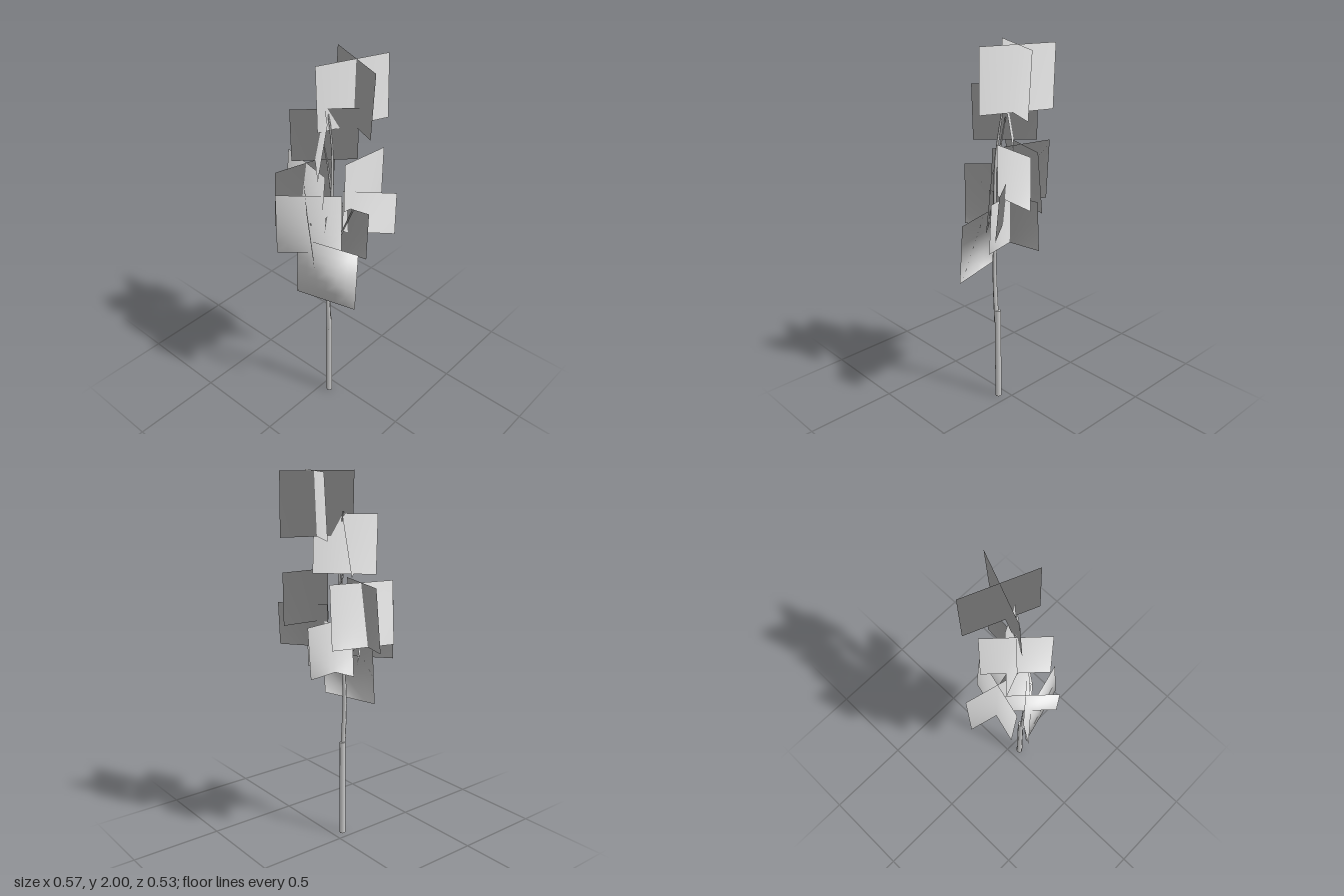
import * as THREE from 'three';

const foliage = new THREE.MeshStandardMaterial({ color: 0xcccccc, side: THREE.DoubleSide });
foliage.name = 'pale grey';

// Foliage is shaded as one round crown about this point
const crownCentre = new THREE.Vector3(0.07, 0.87, 0);

// Tapering limb along a smooth curve
function limb(name, points, r0, r1, sides = 6) {
  const curve = new THREE.CatmullRomCurve3(points.map((p) => new THREE.Vector3(...p)));
  const segs = 14;
  const geo = new THREE.TubeGeometry(curve, segs, r0, sides, false);
  const pos = geo.attributes.position;
  const v = new THREE.Vector3();
  for (let i = 0; i <= segs; i++) {
    const c = curve.getPointAt(i / segs);
    const k = THREE.MathUtils.lerp(1, r1 / r0, i / segs);
    for (let j = 0; j <= sides; j++) {
      const n = i * (sides + 1) + j;
      v.fromBufferAttribute(pos, n).sub(c).multiplyScalar(k).add(c);
      pos.setXYZ(n, v.x, v.y, v.z);
    }
  }
  const mesh = new THREE.Mesh(geo, foliage);
  mesh.name = name;
  return mesh;
}

// Leaning leaf card: top edge from a to b in (x, z), bottom edge shifted by lean
function leafCard(name, yTop, yBottom, a, b, lean) {
  const geo = new THREE.PlaneGeometry(1, 1, 6, 6);
  const pos = geo.attributes.position;
  const centre = new THREE.Vector3(
    (a[0] + b[0] + lean[0]) / 2, (yTop + yBottom) / 2, (a[1] + b[1] + lean[1]) / 2);
  const along = new THREE.Vector3(b[0] - a[0], 0, b[1] - a[1]);
  const up = new THREE.Vector3(-lean[0], yTop - yBottom, -lean[1]);
  // Turn the face side away from the crown centre
  const outward = centre.clone().sub(crownCentre);
  if (along.clone().cross(up).dot(outward) < 0) along.negate();
  const v = new THREE.Vector3();
  for (let i = 0; i < pos.count; i++) {
    v.copy(centre).addScaledVector(along, pos.getX(i)).addScaledVector(up, pos.getY(i));
    pos.setXYZ(i, v.x, v.y, v.z);
    v.sub(crownCentre).normalize();
    geo.attributes.normal.setXYZ(i, v.x, v.y, v.z);
  }
  const mesh = new THREE.Mesh(geo, foliage);
  mesh.name = name;
  return mesh;
}

export function createModel() {
  const tree = new THREE.Group();
  tree.name = 'sapling';

  // Lower trunk and the thinner stem growing out of it
  const trunk = new THREE.Mesh(new THREE.CylinderGeometry(0.016, 0.018, 0.55, 8), foliage);
  trunk.name = 'lowerTrunk';
  trunk.position.set(0.05, 0.275, 0.058);
  tree.add(trunk);
  tree.add(limb('upperStem',
    [[0.055, 0.48, 0.063], [0.055, 0.8, 0.076], [0.056, 1.0, 0.066], [0.064, 1.4, 0.05],
      [0.04, 1.64, 0.03], [0.01, 1.8, 0.03]], 0.014, 0.004));

  // Side twigs reaching for the leaf clusters
  const twigs = [
    [[0.055, 0.97, 0.06], [0.08, 1.08, 0.015], [0.118, 1.24, -0.045]],
    [[0.055, 1.0, 0.06], [-0.02, 1.14, 0.048], [-0.115, 1.28, 0.045]],
    [[0.055, 0.95, 0.068], [0.03, 1.05, 0.1], [0.0, 1.2, 0.142]],
    [[0.06, 1.35, 0.05], [0.03, 1.5, 0.045], [0.0, 1.62, 0.045]],
  ];
  twigs.forEach((p) => tree.add(limb('twig', p, 0.007, 0.003, 5)));

  // Crossed and single leaf cards: top y, bottom y, top edge ends, lean
  const cards = [
    ['crownLeaf', 2, 1.68, [-0.013, 0.08], [0.13, -0.267], [0.016, 0.007]],
    ['crownLeaf', 2, 1.68, [-0.111, -0.182], [0.238, -0.037], [-0.006, 0.015]],
    ['upperLeaf', 1.79, 1.495, [-0.108, -0.07], [0.126, 0.153], [-0.033, 0.032]],
    ['upperLeaf', 1.79, 1.495, [-0.104, 0.159], [0.121, -0.071], [-0.031, -0.034]],
    ['rightLeaf', 1.46, 1.13, [-0.277, 0.003], [0.052, 0.088], [-0.008, 0.026]],
    ['rightLeaf', 1.46, 1.13, [-0.158, 0.216], [-0.067, -0.118], [-0.028, -0.008]],
    ['frontLeaf', 1.35, 1.03, [-0.14, 0.24], [0.11, 0.03], [0.021, 0.025]],
    ['frontLeaf', 1.35, 1.03, [-0.123, 0.056], [0.09, 0.26], [0.025, -0.021]],
    ['innerLeaf', 1.24, 0.97, [-0.1, 0.0], [0.203, -0.067], [0.004, 0.015]],
    ['innerLeaf', 1.24, 0.97, [0.065, 0.1], [0.012, -0.197], [-0.018, 0.004]],
    ['leftLeaf', 1.33, 1.1, [0.06, -0.035], [0.27, -0.198], [0.013, 0.017]],
    ['backLeaf', 1.51, 1.24, [0.1, 0.0], [0.128, -0.262], [-0.002, 0]],
    ['lowLeaf', 1.1, 0.77, [-0.062, 0.17], [0.265, 0.083], [0.006, 0.025]],
  ];
  cards.forEach((c) => tree.add(leafCard(...c)));
  return tree;
}
